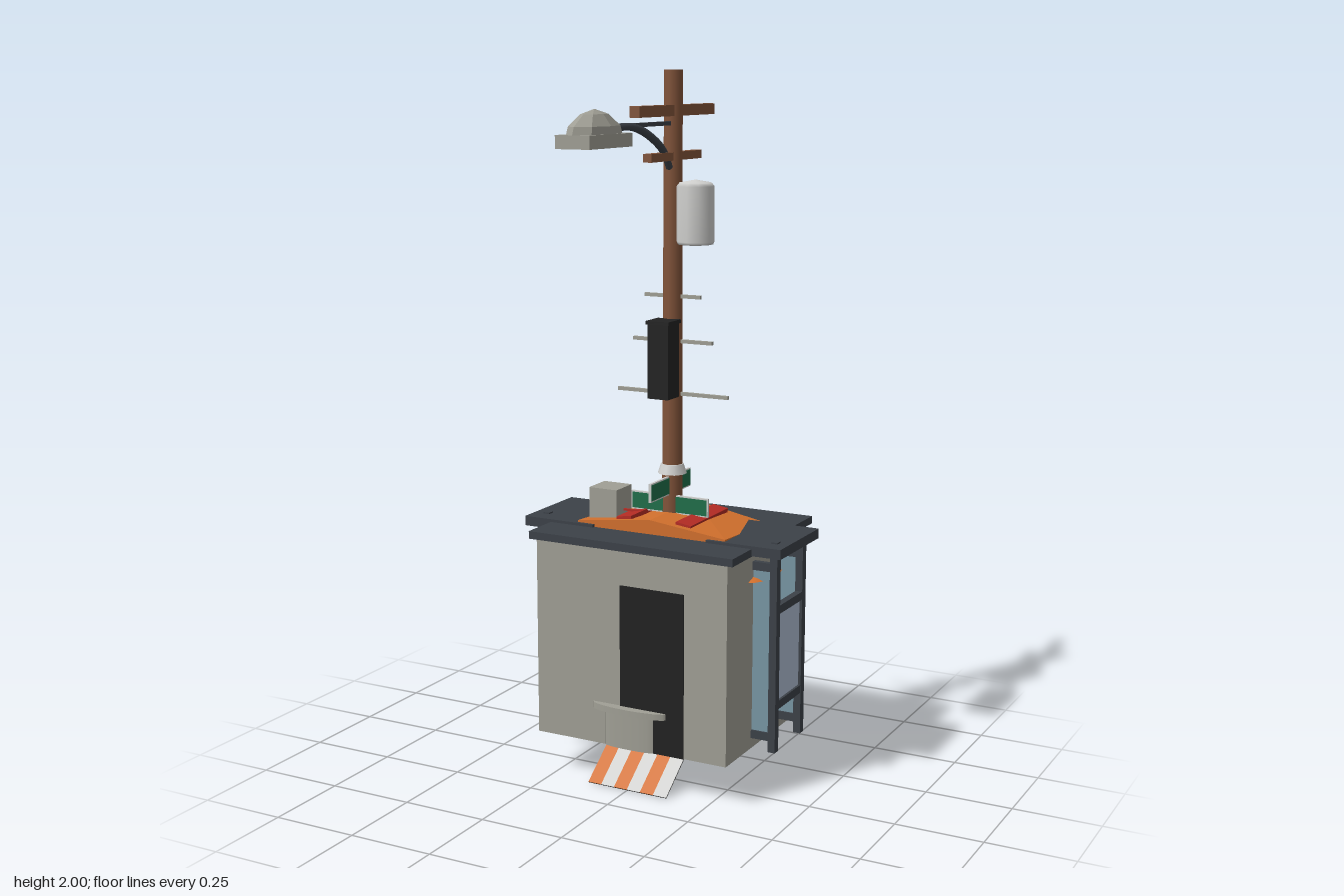
import * as THREE from 'three';

const mat = (name, color) => {
  const m = new THREE.MeshStandardMaterial({ color, flatShading: false });
  m.name = name;
  return m;
};

export function createModel() {
  const wall = mat('warm grey', 0xa09f95);
  const slate = mat('slate', 0x3c4148);
  const black = mat('black', 0x222222);
  const wood = mat('brown wood', 0x82543a);
  const orange = mat('orange', 0xd2702d);
  const red = mat('red', 0xb52c24);
  const green = mat('green', 0x1f6e4a);
  const light = mat('light grey', 0xcfcfcd);
  const teal = mat('teal glass', 0x7896a4);
  const pale = mat('pale glass', 0xafbdd2);

  const model = new THREE.Group();
  const add = (name, geo, material, parent = model) => {
    const m = new THREE.Mesh(geo, material);
    m.name = name;
    parent.add(m);
    return m;
  };
  // box given by its minimum and maximum on each axis
  const box = (name, material, x0, x1, y0, y1, z0, z1, parent) => {
    const g = new THREE.BoxGeometry(x1 - x0, y1 - y0, z1 - z0);
    g.translate((x0 + x1) / 2, (y0 + y1) / 2, (z0 + z1) / 2);
    return add(name, g, material, parent);
  };

  // house, door and roof slab
  box('house', wall, -0.3, 0.3, 0.12, 0.7, -0.39, 0.12);
  box('door', black, -0.03, 0.17, 0.12, 0.595, 0.12, 0.123);
  box('roofSlab', slate, -0.32, 0.32, 0.695, 0.717, -0.41, 0.13);

  // half-round ledges at the front and back
  for (const [name, z, turn] of [['frontLedge', 0.12, 0], ['backLedge', -0.39, Math.PI]]) {
    const ledge = new THREE.Group();
    ledge.name = name;
    const half = (part, w, d, y0, y1) => {
      const g = new THREE.CylinderGeometry(1, 1, y1 - y0, 8, 1, false, -Math.PI / 2, Math.PI);
      g.scale(w, 1, d);
      g.translate(0, (y0 + y1) / 2, 0);
      add(part, g, wall, ledge);
    };
    half('ledgeBody', 0.08, 0.012, 0.12, 0.228);
    half('ledgeTop', 0.118, 0.028, 0.225, 0.243);
    ledge.position.z = z;
    ledge.rotation.y = turn;
    model.add(ledge);
  }

  // glazed bay on each side
  for (const s of [1, -1]) {
    const bay = new THREE.Group();
    bay.name = s > 0 ? 'leftBay' : 'rightBay';
    const b = (name, m, x0, x1, ...r) =>
      box(name, m, Math.min(s * x0, s * x1), Math.max(s * x0, s * x1), ...r, bay);
    b('bayRoof', slate, 0.18, 0.406, 0.697, 0.725, -0.255, 0.01);
    b('postCap', slate, 0.355, 0.375, 0.725, 0.729, -0.06, -0.04);
    for (const z of [-0.05, -0.227]) {
      b('bayPost', slate, 0.354, 0.376, 0.12, 0.7, z - 0.012, z + 0.012);
      b('sideGlass', teal, 0.3, 0.356, 0.17, 0.655, z - 0.003, z + 0.003);
      for (const y of [0.163, 0.655]) b('sideRail', slate, 0.3, 0.356, y - 0.012, y + 0.012, z - 0.008, z + 0.008);
    }
    for (const y of [0.255, 0.533]) b('frontRail', slate, 0.355, 0.375, y - 0.012, y + 0.012, -0.217, -0.06);
    b('frontGlass', pale, 0.362, 0.368, 0.265, 0.523, -0.217, -0.06);
    // shallow canopy on the wall inside the bay
    const g = new THREE.ConeGeometry(1, 0.025, 8, 1, false, 0, Math.PI);
    g.scale(0.04, 1, 0.095);
    const canopy = add('canopy', g, orange, bay);
    canopy.position.set(s * 0.3, 0.625, -0.11);
    if (s < 0) canopy.rotation.y = Math.PI;
    model.add(bay);
  }

  // low gable whose eaves drop toward the back
  const gable = new THREE.Shape([
    [-0.235, 0.7], [0.235, 0.7], [0.235, 0.73], [0, 0.758], [-0.235, 0.73],
  ].map(([x, y]) => new THREE.Vector2(x, y)));
  const gableGeo = new THREE.ExtrudeGeometry(gable, { depth: 0.28, bevelEnabled: false });
  gableGeo.translate(0, 0, -0.28);
  const p = gableGeo.attributes.position;
  for (let i = 0; i < p.count; i++) {
    if (p.getZ(i) < -0.1 && Math.abs(p.getY(i) - 0.73) < 0.001) p.setY(i, 0.715);
  }
  gableGeo.computeVertexNormals();
  add('gableRoof', gableGeo, orange);

  // red roof strips, rooftop box and its pipe
  for (const s of [1, -1]) {
    const strip = box('roofStrip', red, -0.024, 0.024, -0.008, 0.008, -0.12, 0.12);
    strip.position.set(s * 0.094, 0.746, -0.14);
    strip.rotation.z = -s * 0.15;
  }
  box('rooftopBox', wall, -0.222, -0.132, 0.71, 0.82, -0.135, -0.045);
  box('pipe', red, -0.135, -0.075, 0.752, 0.758, -0.093, -0.087);

  // striped ramp under the door, dark below
  const ramp = new THREE.Group();
  ramp.name = 'ramp';
  const length = Math.hypot(0.165, 0.118);
  for (let i = 0; i < 6; i++) {
    const x = -0.125 + i * 0.25 / 6;
    box('rampStripe', i % 2 ? light : orange, x, x + 0.25 / 6, -0.002, 0, -length, 0, ramp);
  }
  box('rampUnderside', black, -0.125, 0.125, -0.004, -0.002, -length, 0, ramp);
  ramp.position.set(0, 0.004, 0.139);
  ramp.rotation.x = Math.atan2(0.118, 0.165);
  model.add(ramp);

  // wedge under the floor
  const wedge = new THREE.Shape([[0, 0.12], [0, 0.055], [0.04, 0.085], [0.07, 0.12]]
    .map(([x, y]) => new THREE.Vector2(x, y)));
  const wedgeGeo = new THREE.ExtrudeGeometry(wedge, { depth: 0.245, bevelEnabled: false });
  wedgeGeo.translate(0, 0, -0.26);
  add('underfloorWedge', wedgeGeo, wall);

  // pole with collar
  const PZ = -0.137;
  add('pole', new THREE.CylinderGeometry(0.026, 0.03, 1.29, 10), wood).position.set(0, 1.355, PZ);
  add('collar', new THREE.CylinderGeometry(0.033, 0.042, 0.028, 10), light).position.set(0, 0.882, PZ);

  // crossed street signs: pale plate with a green face on both sides
  for (const [turn, y, z] of [[0, 0.78, -0.122], [Math.PI / 2, 0.835, -0.122]]) {
    const sign = new THREE.Group();
    sign.name = 'streetSign';
    box('signPlate', light, -0.123, 0.123, -0.027, 0.027, -0.004, 0.004, sign);
    box('signFace', green, -0.119, 0.119, -0.023, 0.023, -0.005, 0.005, sign);
    sign.position.set(0, y, z);
    sign.rotation.y = turn;
    model.add(sign);
  }

  // black equipment box and thin rungs
  box('equipmentBox', black, -0.033, 0.031, 1.095, 1.305, -0.115, -0.048);
  box('equipmentLid', black, -0.037, 0.035, 1.305, 1.315, -0.118, -0.043);
  for (const [y, w] of [[1.1, 0.175], [1.25, 0.125], [1.377, 0.088]]) {
    box('rung', wall, -w, w, y - 0.005, y + 0.005, PZ - 0.005, PZ + 0.005);
  }

  // transformer can with a slightly domed lid
  const can = [[0, 0], [0.05, 0], [0.053, 0.008], [0.053, 0.16], [0.045, 0.17], [0, 0.178]]
    .map(([x, y]) => new THREE.Vector2(x, y));
  add('transformer', new THREE.LatheGeometry(can, 10), light).position.set(0.07, 1.525, PZ);

  // wooden crossarms
  box('upperCrossarm', wood, -0.015, 0.015, 1.875, 1.905, -0.363, 0.087);
  box('lowerCrossarm', wood, -0.013, 0.013, 1.754, 1.777, -0.287, 0.015);

  // street lamp: curved arm, straight brace, plate and faceted dome
  const arm = new THREE.CatmullRomCurve3([[-0.115, 1.735], [-0.08, 1.78], [-0.01, 1.82], [0.09, 1.85], [0.22, 1.852]]
    .map(([z, y]) => new THREE.Vector3(0, y, z)));
  add('lampArm', new THREE.TubeGeometry(arm, 14, 0.011, 6), slate);
  box('lampBrace', slate, -0.006, 0.006, 1.85, 1.861, -0.12, 0.2);
  box('lampPlate', wall, -0.05, 0.05, 1.805, 1.84, 0.188, 0.413);
  const dome = [[1, 0], [0.93, 0.02], [0.5, 0.05], [0, 0.063]].map(([x, y]) => new THREE.Vector2(x, y));
  const domeGeo = new THREE.LatheGeometry(dome.reverse(), 8).toNonIndexed();
  domeGeo.scale(0.053, 1, 0.112);
  // keep faces outward whichever way the profile runs
  const d = domeGeo.attributes.position;
  const [a, b, c] = [0, 1, 2].map((k) => new THREE.Vector3().fromBufferAttribute(d, d.count - 3 + k));
  const n = b.clone().sub(a).cross(c.clone().sub(a));
  if (n.dot(new THREE.Vector3(a.x + b.x + c.x, 0, a.z + b.z + c.z)) < 0) {
    for (let i = 0; i < d.count; i += 3) {
      const u = new THREE.Vector3().fromBufferAttribute(d, i);
      const v = new THREE.Vector3().fromBufferAttribute(d, i + 1);
      d.setXYZ(i, v.x, v.y, v.z);
      d.setXYZ(i + 1, u.x, u.y, u.z);
    }
  }
  domeGeo.computeVertexNormals();
  add('lampDome', domeGeo, wall).position.set(0, 1.84, 0.3);

  return model;
}
